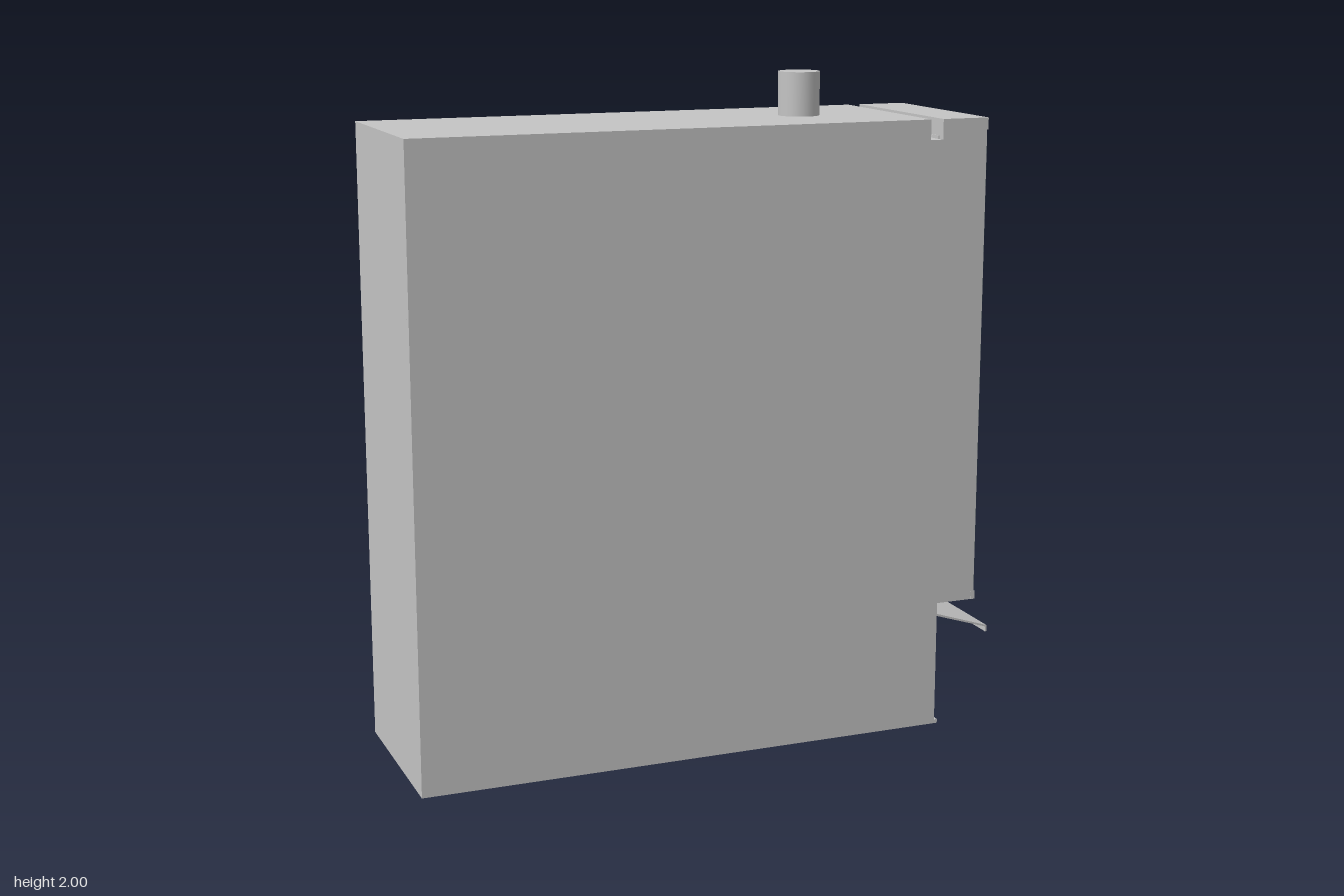
import * as THREE from 'three';
import { mergeGeometries } from 'three/addons/utils/BufferGeometryUtils.js';

const material = (name, color) => Object.assign(new THREE.MeshStandardMaterial({ color }), { name });

export function createModel() {
  const root = new THREE.Group();
  root.name = 'townhouse';
  const wall = material('pale wall', 0xc4c4c4);
  const glass = material('dark glass', 0x35444c);
  const metal = material('dark metal', 0x23292d);
  const brown = material('planter brown', 0x625b5c);
  const pane = material('shop pane', 0xcdcfd0);
  const leaf = material('leaves', 0x4b504b);
  const petal = material('petals', 0xc9c0c1);

  // Box from its limits on each axis
  function box(name, mat, x0, x1, y0, y1, z0, z1, parent = root) {
    const m = new THREE.Mesh(new THREE.BoxGeometry(x1 - x0, y1 - y0, z1 - z0), mat);
    m.position.set((x0 + x1) / 2, (y0 + y1) / 2, (z0 + z1) / 2);
    m.name = name;
    parent.add(m);
    return m;
  }
  // Side profile (x, y) extruded between two z values
  function slab(name, mat, points, z0, z1) {
    const shape = new THREE.Shape(points.map(p => new THREE.Vector2(...p)));
    const geo = new THREE.ExtrudeGeometry(shape, { depth: z1 - z0, bevelEnabled: false });
    const m = new THREE.Mesh(geo, mat);
    m.position.z = z0;
    m.name = name;
    root.add(m);
  }
  let seed = 7;
  const rand = () => (seed = (seed * 16807) % 2147483647) / 2147483647;

  // Building core, recessed facade and shop, with the slot across the roof
  const F = 0.712;
  const roof = [[0.85, 1.87], [0.705, 1.87], [0.705, 1.81], [0.665, 1.81], [0.665, 1.87], [-0.91, 1.87]];
  slab('core', wall, [[-0.91, 0], [0.6, 0], [0.6, 0.27], [0.725, 0.27], [0.725, 0.39],
    [F, 0.39], [F, 1.82], [0.85, 1.82], ...roof], -0.255, 0.255);
  // Party walls, projecting as fins above the shop
  for (const s of [-1, 1]) {
    const z = (a, b) => (s > 0 ? [a, b] : [-b, -a]);
    slab('sideWall', wall, [[-0.91, 0], [0.725, 0], [0.725, 0.39], [0.85, 0.39], ...roof], ...z(0.255, 0.28));
    box('finStrip', glass, 0.848, 0.853, 0.42, 1.81, ...z(0.257, 0.276));
    box('finFoot', wall, 0.84, 0.854, 0.39, 0.415, ...z(0.252, 0.281));
    box('shopJamb', wall, 0.6, 0.725, 0, 0.27, ...z(0.24, 0.256));
    box('plinth', wall, 0.71, 0.735, 0, 0.012, ...z(0.235, 0.28));
  }
  box('parapetBand', wall, 0.845, 0.854, 1.835, 1.87, -0.28, 0.28);

  // Roof vent
  const vent = new THREE.Mesh(new THREE.CylinderGeometry(0.062, 0.062, 0.14, 32), wall);
  vent.position.set(0.367, 1.93, 0);
  vent.name = 'roofVent';
  root.add(vent);

  // Shop front
  const shop = new THREE.Group();
  shop.name = 'shopFront';
  root.add(shop);
  box('shopFloor', wall, 0.59, 0.725, 0, 0.016, -0.25, 0.25, shop);
  box('shopPane', pane, 0.645, 0.65, 0.016, 0.27, -0.24, 0.24, shop);
  for (const z of [-0.238, -0.122, 0, 0.122, 0.238])
    box('mullion', metal, 0.64, 0.662, 0.016, 0.27, z - 0.004, z + 0.004, shop);
  for (const y of [0.022, 0.1, 0.265])
    box('shopRail', metal, 0.64, 0.662, y - 0.004, y + 0.004, -0.24, 0.24, shop);
  for (const z of [-0.135, -0.109, 0.109, 0.135])
    box('doorHandle', metal, 0.66, 0.672, 0.09, 0.122, z - 0.002, z + 0.002, shop);
  box('shopFascia', wall, 0.72, 0.735, 0.355, 0.385, -0.24, 0.24);
  slab('awning', wall, [[0.72, 0.347], [0.905, 0.288], [0.905, 0.272], [0.91, 0.272],
    [0.91, 0.292], [0.72, 0.354]], -0.263, 0.263);
  box('lowerBand', wall, F - 0.01, F + 0.018, 0.395, 0.425, -0.255, 0.255);

  // Flowers: scattered leaves and petals along a planter, with a few trailing stems
  function flowers(x, y, z0, z1, trailing) {
    const parts = [[], []];
    for (let i = 0; i < 110; i++) {
      const g = new THREE.OctahedronGeometry(0.003 + rand() * 0.0035);
      g.rotateX(rand() * 3).rotateY(rand() * 3);
      g.translate(x + (rand() - 0.5) * 0.045, y + rand() * 0.04, z0 + rand() * (z1 - z0));
      parts[i % 2].push(g);
    }
    for (let i = 0; i < trailing; i++) {
      const z = z0 + rand() * (z1 - z0), drop = 0.03 + rand() * 0.05;
      for (let k = 0; k < 5; k++) {
        const g = new THREE.OctahedronGeometry(0.003);
        g.translate(x + 0.028, y - drop * k / 4, z + (rand() - 0.5) * 0.008);
        parts[k % 2].push(g);
      }
    }
    [leaf, petal].forEach((mat, i) => {
      const m = new THREE.Mesh(mergeGeometries(parts[i]), mat);
      m.name = i ? 'flowerPetals' : 'flowerLeaves';
      root.add(m);
    });
  }

  // Windows: three panes, a shaded transom, frame and sill
  function windowUnit(y0, y1, zc, planted) {
    const g = new THREE.Group(), h = 0.104, t = y1 - 0.042;
    g.name = 'window';
    root.add(g);
    box('windowGlass', glass, F - 0.004, F + 0.003, y0, t, zc - h, zc + h, g);
    box('windowTransom', brown, F - 0.004, F + 0.007, t, y1, zc - h, zc + h, g);
    for (const z of [-h, -0.036, 0.036, h])
      box('windowPost', metal, F, F + 0.01, y0, y1, zc + z - 0.003, zc + z + 0.003, g);
    for (const z of [-0.029, 0.029])
      box('paleStrip', wall, F, F + 0.006, y0 + 0.01, t - 0.005, zc + z - 0.003, zc + z + 0.003, g);
    for (const y of [t, y1])
      box('windowBar', metal, F, F + 0.01, y - 0.003, y + 0.003, zc - h, zc + h, g);
    box('windowSill', metal, F, F + 0.022, y0 - 0.006, y0 + 0.004, zc - h - 0.006, zc + h + 0.006, g);
    if (!planted) return;
    // Planter, narrower at its base
    const p = box('planter', brown, F + 0.012, F + 0.067, y0 - 0.04, y0 + 0.004, zc - 0.1, zc + 0.1, g);
    const pos = p.geometry.attributes.position;
    for (let i = 0; i < pos.count; i++)
      if (pos.getY(i) < 0) pos.setZ(i, pos.getZ(i) * 0.92);
    p.geometry.computeVertexNormals();
    flowers(F + 0.04, y0 + 0.002, zc - 0.1, zc + 0.1, 4);
  }
  [[0.51, 0.7, false], [0.845, 1.035, true], [1.185, 1.375, true]].forEach(([a, b, planted]) => {
    for (const zc of [-0.127, 0.127]) windowUnit(a, b, zc, planted);
  });

  // Stepped ledges between floors
  for (const y of [0.73, 1.062, 1.395]) {
    box('ledge', wall, F - 0.01, 0.795, y + 0.018, y + 0.038, -0.255, 0.255);
    box('ledgeMoulding', wall, F - 0.01, 0.745, y, y + 0.018, -0.255, 0.255);
  }

  // Top balcony: floor, glazing, railing and flower trough
  box('balconyFloor', wall, F - 0.01, 0.842, 1.43, 1.45, -0.255, 0.255);
  box('balconyGlass', glass, F - 0.004, F + 0.004, 1.45, 1.74, -0.232, 0.232);
  for (const z of [-0.232, -0.116, 0, 0.116, 0.232])
    box('balconyGlassPost', metal, F, F + 0.008, 1.45, 1.74, z - 0.002, z + 0.002);
  for (const y of [1.458, 1.556])
    box('handrail', metal, 0.828, 0.838, y - 0.004, y + 0.004, -0.255, 0.255);
  for (let i = 0; i <= 34; i++) {
    const z = -0.25 + i * 0.5 / 34;
    box('baluster', metal, 0.831, 0.835, 1.45, 1.556, z - 0.0013, z + 0.0013);
  }
  box('balconyTrough', brown, 0.765, 0.815, 1.45, 1.5, 0.01, 0.23);
  flowers(0.79, 1.498, 0.01, 0.23, 0);
  box('balconyCornice', wall, F - 0.01, F + 0.02, 1.775, 1.82, -0.255, 0.255);
  return root;
}
